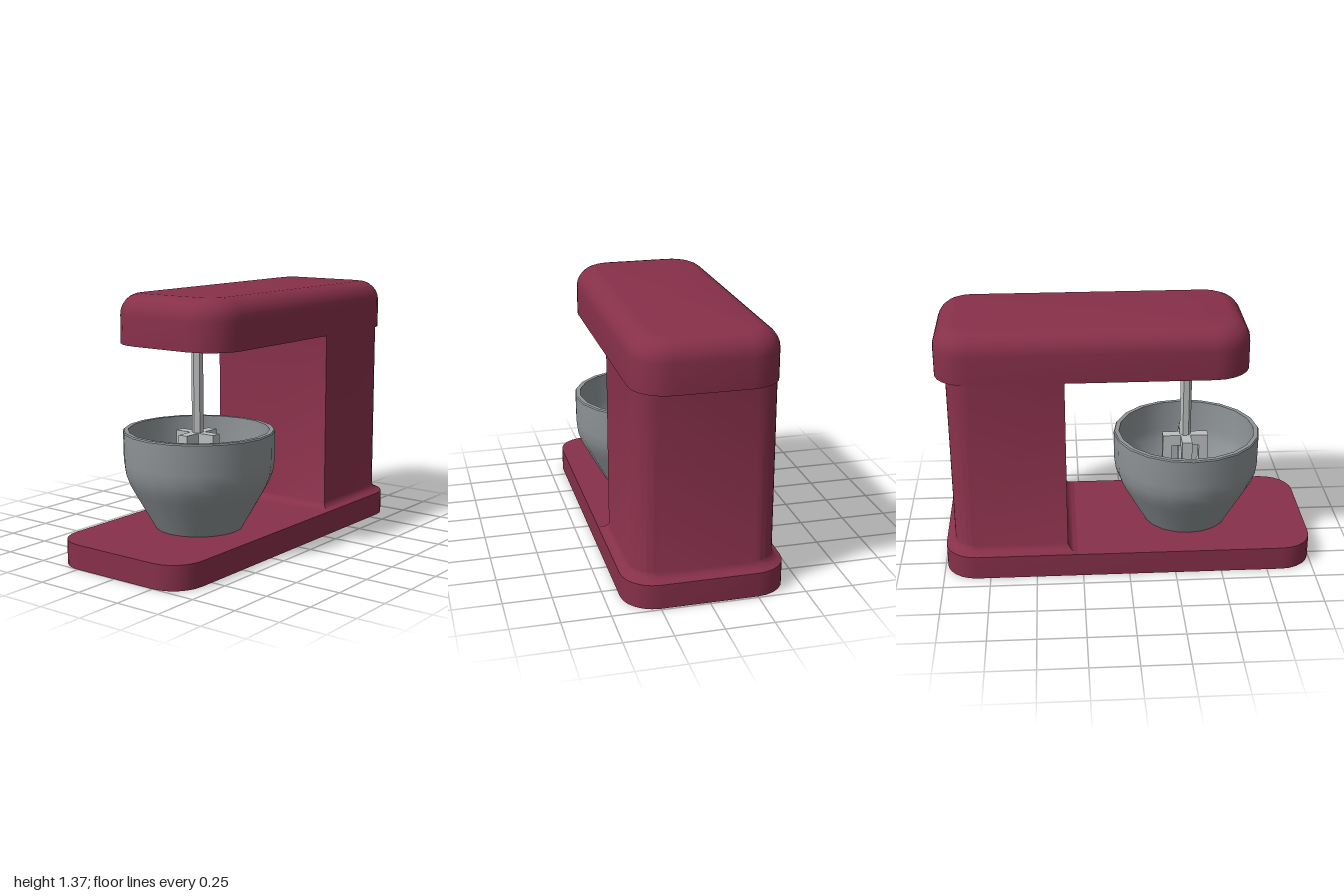
import * as THREE from 'three';
import { toCreasedNormals } from 'three/addons/utils/BufferGeometryUtils.js';

const mat = (name, color, opts = {}) => {
  const m = new THREE.MeshStandardMaterial({ color, ...opts });
  m.name = name;
  return m;
};

// Rounded rectangle in plan, counterclockwise from above; rf / rb are front and back corner radii
function section({ y, hx, z0, z1, rf, rb }, steps = 6) {
  const corners = [
    [hx - rb, z0 + rb, rb, 0], [-hx + rb, z0 + rb, rb, 1],
    [-hx + rf, z1 - rf, rf, 2], [hx - rf, z1 - rf, rf, 3],
  ];
  return corners.flatMap(([cx, cz, r, q]) => Array.from({ length: steps + 1 }, (_, i) => {
    const a = (q + i / steps) * Math.PI / 2;
    return new THREE.Vector3(cx + r * Math.cos(a), y, cz - r * Math.sin(a));
  }));
}

// Skin a stack of sections from bottom to top and cap both ends
function loft(specs, crease = 0.6) {
  const rings = specs.map((s) => section(s));
  const out = [];
  const tri = (a, b, c) => {
    const area = b.clone().sub(a).cross(c.clone().sub(a)).length();
    if (area > 1e-9) for (const p of [a, b, c]) out.push(p.x, p.y, p.z);
  };
  const n = rings[0].length;
  const centre = (r) => r.reduce((s, p) => s.add(p), new THREE.Vector3()).divideScalar(n);
  const low = rings[0], high = rings[rings.length - 1];
  const cl = centre(low), ch = centre(high);
  for (let i = 0; i < n; i++) {
    const j = (i + 1) % n;
    for (let k = 0; k + 1 < rings.length; k++) {
      const a = rings[k], b = rings[k + 1];
      tri(a[i], a[j], b[j]);
      tri(a[i], b[j], b[i]);
    }
    tri(cl, low[j], low[i]);
    tri(ch, high[i], high[j]);
  }
  const g = new THREE.BufferGeometry();
  g.setAttribute('position', new THREE.Float32BufferAttribute(out, 3));
  return toCreasedNormals(g, crease);
}

export function createModel() {
  const group = new THREE.Group();
  const red = mat('burgundy enamel', 0x87304a);
  const bowlGrey = mat('bowl grey', 0x8f9497);
  const steel = mat('light steel', 0xbcbfc0);
  const add = (name, geometry, material, parent = group) => {
    const m = new THREE.Mesh(geometry, material);
    m.name = name;
    parent.add(m);
    return m;
  };

  // Base slab
  const base = { hx: 0.42, z0: -0.99, z1: 1, rf: 0.17, rb: 0.17 };
  add('base', loft([{ y: 0, ...base }, { y: 0.13, ...base }]), red);

  // Column with a flared foot, square at the front and rounded at the back
  const flare = [[0.13, 0.05], [0.14, 0.027], [0.15, 0.012], [0.17, 0], [1.115, 0]];
  add('column', loft(flare.map(([y, f]) => (
    { y, hx: 0.37 + f, z0: -0.94 - f, z1: -0.33 + f, rf: 0, rb: 0.13 + f * 0.8 }))), red);

  // Motor head with a rounded upper edge
  const bevel = 0.11;
  const head = (y, d) => ({ y, hx: 0.372 - d, z0: -1 + d, z1: 0.64 - d, rf: 0.2 - d, rb: 0.18 - d });
  const headRings = [head(1.108, 0)];
  for (let i = 0; i <= 6; i++) {
    const a = (i / 6) * Math.PI / 2;
    headRings.push(head(1.37 - bevel + bevel * Math.sin(a), bevel * (1 - Math.cos(a))));
  }
  add('motorHead', loft(headRings), red);

  // Hollow bowl
  const profile = [
    [0, 0.131], [0.235, 0.131], [0.345, 0.325], [0.372, 0.375], [0.392, 0.43], [0.4, 0.49],
    [0.402, 0.648], [0.397, 0.655], [0.373, 0.655], [0.37, 0.49], [0.36, 0.43], [0.32, 0.345],
    [0.215, 0.165], [0, 0.165],
  ].map((p) => new THREE.Vector2(...p));
  const bowl = add('bowl', toCreasedNormals(new THREE.LatheGeometry(profile, 20), 0.6), bowlGrey);
  bowl.position.set(0.012, 0, 0.34);

  // Beater: six-sided shaft and two crossed open blades
  const beater = new THREE.Group();
  beater.name = 'beater';
  beater.position.set(-0.003, 0, 0.332);
  group.add(beater);
  const shaft = new THREE.CylinderGeometry(0.031, 0.031, 0.56, 6).toNonIndexed();
  shaft.computeVertexNormals();
  add('shaft', shaft, steel, beater).position.y = 0.84;

  const outline = (w, top, mid, foot, bottom) => [
    [-w, top], [-w, mid], [-foot, bottom], [foot, bottom], [w, mid], [w, top],
  ].map((p) => new THREE.Vector2(...p));
  const blade = new THREE.Shape(outline(0.125, 0.635, 0.48, 0.06, 0.28));
  blade.holes.push(new THREE.Path(outline(0.075, 0.575, 0.49, 0.03, 0.33)));
  const bladeGeo = new THREE.ExtrudeGeometry(blade, { depth: 0.055, bevelEnabled: false });
  bladeGeo.translate(0, 0, -0.0275);
  for (let i = 0; i < 2; i++) {
    add('beaterBlade', bladeGeo, steel, beater).rotation.y = i * Math.PI / 2;
  }
  return group;
}
